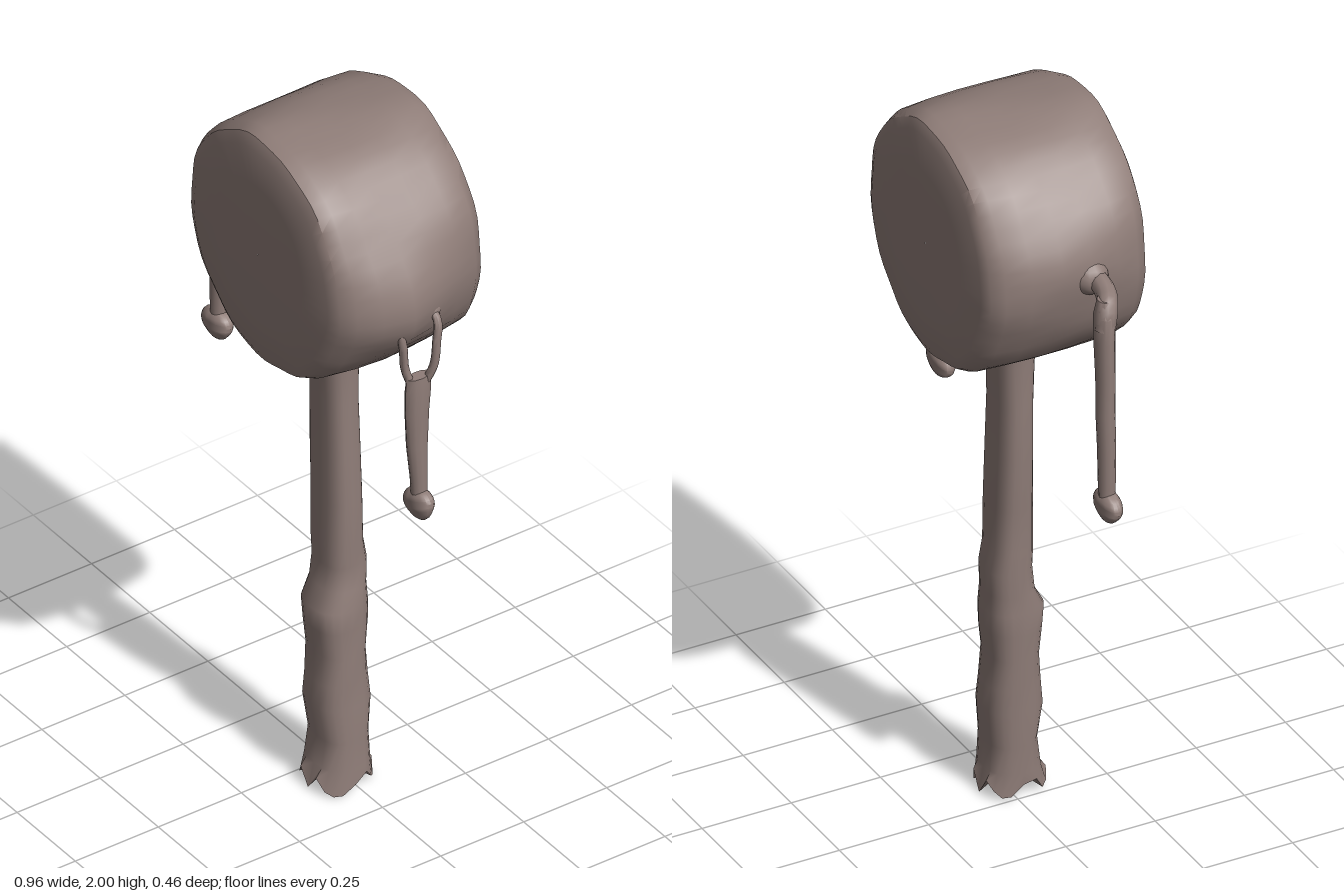
import * as THREE from 'three';
import { toCreasedNormals } from 'three/addons/utils/BufferGeometryUtils.js';

const clay = new THREE.MeshStandardMaterial({ color: 0x8f7d78 });
clay.name = 'greyish brown';

function add(group, name, geometry, crease = 0.7) {
  const mesh = new THREE.Mesh(toCreasedNormals(geometry, crease), clay);
  mesh.name = name;
  group.add(mesh);
  return mesh;
}

// Closed skin over horizontal sections, listed upward as [y, x, z, rx, rz].
// A squareness below 1 makes the section boxier than an ellipse.
function loft(sections, squareness = 1, sides = 16) {
  const first = sections[0], last = sections[sections.length - 1];
  const rings = [[...first.slice(0, 3), 0.001, 0.001], ...sections, [...last.slice(0, 3), 0.001, 0.001]];
  const round = (v) => Math.sign(v) * Math.abs(v) ** squareness;
  const pos = [], index = [];
  rings.forEach(([y, x, z, rx, rz], i) => {
    for (let j = 0; j < sides; j++) {
      const t = (j / sides) * Math.PI * 2;
      pos.push(x + rx * round(Math.cos(t)), y, z + rz * round(Math.sin(t)));
      if (i === rings.length - 1) continue;
      const a = i * sides + j, b = i * sides + (j + 1) % sides;
      index.push(a, a + sides, b, b, a + sides, b + sides);
    }
  });
  const g = new THREE.BufferGeometry();
  g.setAttribute('position', new THREE.Float32BufferAttribute(pos, 3));
  g.setIndex(index);
  return g;
}

// Moves every vertex by a rule
function warp(g, rule) {
  const p = g.attributes.position, v = new THREE.Vector3();
  for (let i = 0; i < p.count; i++) {
    rule(v.fromBufferAttribute(p, i));
    p.setXYZ(i, v.x, v.y, v.z);
  }
  return g;
}

const cord = (points, r) => new THREE.TubeGeometry(
  new THREE.CatmullRomCurve3(points.map((p) => new THREE.Vector3(...p))), 18, r, 10);

// Flattened bead with a small pointed tip
function bead(group, name, x, y, z, tilt) {
  const g = warp(new THREE.SphereGeometry(1, 18, 12), (v) => {
    if (v.y < -0.6) v.y -= (-0.6 - v.y) * 0.8;
    v.set(v.x * 0.056, v.y * 0.038, v.z * 0.03);
  });
  const mesh = add(group, name, g);
  mesh.position.set(x, y, z);
  mesh.rotation.z = tilt;
}

export function createModel() {
  const model = new THREE.Group();
  model.name = 'rattleDrum';

  // Drum: rounded barrel on its side, narrower at both skins
  const profile = [[0.001, -0.23], [0.2, -0.232], [0.3, -0.228], [0.325, -0.215], [0.338, -0.185], [0.338, -0.12],
    [0.337, -0.04], [0.337, 0.04], [0.338, 0.12], [0.34, 0.18], [0.328, 0.212], [0.3, 0.226], [0.2, 0.23], [0.001, 0.232]];
  const drum = new THREE.LatheGeometry(profile.map(([r, y]) => new THREE.Vector2(r, y)), 56);
  drum.rotateX(Math.PI / 2);
  warp(drum, (v) => {
    const r = Math.hypot(v.x, v.y), a = Math.atan2(v.y, v.x), edge = Math.abs(v.z) / 0.23;
    if (r > 0.25) {
      // uneven hide around the rim
      const k = 1 + 0.009 * Math.sin(7 * a + 9 * v.z) + 0.006 * Math.sin(13 * a - 14 * v.z);
      v.x *= k;
      v.y *= k;
    }
    const side = v.x;
    v.x *= 1.05 - 0.11 * edge ** 3;
    // swelling under each cord
    const swell = (y, z) => Math.exp(-(((v.y - y) / 0.13) ** 2) - ((v.z - z) / 0.12) ** 2);
    if (side > 0.2) v.x += 0.055 * swell(-0.06, 0.04);
    if (side < -0.2) v.x -= 0.012 * swell(0.06, 0);
    v.x += 0.05 - 0.02 * v.z;
    v.y += 1.658;
  });
  add(model, 'drum', drum, 0.6);

  // Handle: slim above, lumpy and boxier grip below
  const handle = loft([
    [0.03, 0.078, 0.018, 0.08, 0.086], [0.07, 0.078, 0.016, 0.08, 0.07], [0.15, 0.076, 0.012, 0.078, 0.066],
    [0.25, 0.073, 0.015, 0.077, 0.076], [0.32, 0.07, 0.014, 0.076, 0.072], [0.4, 0.068, 0.014, 0.076, 0.062],
    [0.48, 0.066, 0.014, 0.078, 0.074], [0.54, 0.064, 0.014, 0.077, 0.076], [0.59, 0.06, 0.002, 0.07, 0.06],
    [0.66, 0.058, -0.004, 0.07, 0.06], [0.72, 0.056, 0.002, 0.07, 0.054], [0.85, 0.052, 0, 0.073, 0.053],
    [1, 0.047, 0, 0.074, 0.05], [1.15, 0.043, 0, 0.071, 0.047], [1.27, 0.04, 0, 0.068, 0.05],
    [1.36, 0.04, 0, 0.076, 0.06]], 0.75, 20);
  warp(handle, (v) => {
    // ragged lower end
    if (v.y < 0.04) v.y += 0.024 * Math.sin(v.x * 95 + v.z * 40) - 0.006;
    v.x += 0.003 * Math.sin(v.y * 37 + v.z * 30);
  });
  add(model, 'handle', handle, 0.8);

  // Cord on the right: short arm, then a hanging strip
  const right = new THREE.Group();
  right.name = 'rightCord';
  model.add(right);
  add(right, 'cordArm', cord([[-0.25, 1.67, 0.05], [-0.31, 1.67, 0.055], [-0.365, 1.66, 0.05], [-0.41, 1.645, 0.03],
    [-0.415, 1.59, 0.02]], 0.027), 1.2);
  add(right, 'cordRoot', new THREE.SphereGeometry(0.05, 14, 10)).position.set(-0.285, 1.672, 0.045);
  add(right, 'cordStrip', loft([
    [1.09, -0.425, 0.02, 0.02, 0.02], [1.14, -0.425, 0.02, 0.022, 0.022], [1.25, -0.424, 0.02, 0.026, 0.023],
    [1.35, -0.418, 0.02, 0.027, 0.024], [1.45, -0.418, 0.02, 0.029, 0.024], [1.56, -0.412, 0.02, 0.034, 0.025],
    [1.63, -0.408, 0.022, 0.034, 0.026], [1.67, -0.4, 0.027, 0.022, 0.018]], 1, 12));
  bead(right, 'bead', -0.428, 1.09, 0.022, 0.1);

  // Cord on the left: two strands that join into a tapering strip
  const left = new THREE.Group();
  left.name = 'leftCord';
  model.add(left);
  for (const [z, x] of [[0.068, 0.412], [-0.032, 0.44]]) {
    const mid = 0.018, s = Math.sign(z - mid);
    add(left, 'cordStrand', cord([[0.37, 1.62, z], [x, 1.585, z], [x + 0.01, 1.53, mid + s * 0.041],
      [x + 0.008, 1.46, mid + s * 0.034], [0.43, 1.4, mid + s * 0.018]], 0.011), 1.2);
    add(left, 'strandRoot', new THREE.SphereGeometry(0.03, 12, 8)).position.set(0.405, 1.6, z);
  }
  add(left, 'cordStrip', loft([
    [1.05, 0.428, 0.014, 0.02, 0.02], [1.12, 0.428, 0.016, 0.02, 0.023], [1.22, 0.426, 0.02, 0.022, 0.029],
    [1.32, 0.426, 0.02, 0.022, 0.034], [1.39, 0.428, 0.018, 0.022, 0.037], [1.43, 0.43, 0.018, 0.017, 0.035]], 1, 12));
  bead(left, 'bead', 0.426, 1.045, 0.014, 0.35);

  return model;
}
